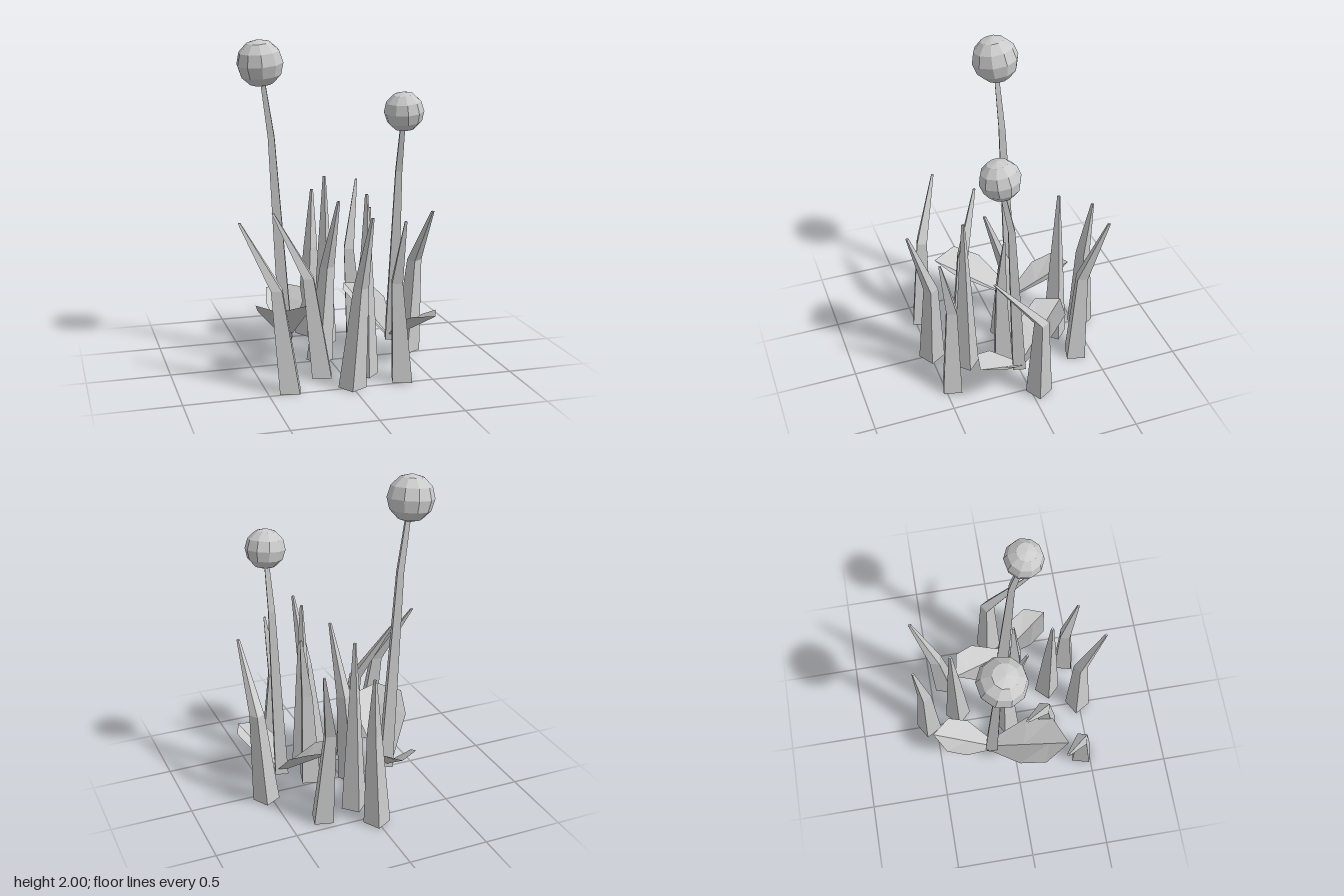
import * as THREE from 'three';

const grey = new THREE.MeshStandardMaterial({ color: 0xcccccc, flatShading: true });
const sheet = new THREE.MeshStandardMaterial({ color: 0xcccccc, flatShading: true, side: THREE.DoubleSide });

function makeMesh(points, faces, name, material) {
  let geo = new THREE.BufferGeometry();
  geo.setAttribute('position', new THREE.Float32BufferAttribute(points.flat(), 3));
  geo.setIndex(faces.flat());
  geo = geo.toNonIndexed();
  geo.computeVertexNormals();
  const mesh = new THREE.Mesh(geo, material);
  mesh.name = name;
  return mesh;
}

// Square-section tapering stalk through rings of [x, y, z, half side]
function stalk(rings, degrees, name) {
  const points = [], faces = [];
  for (const [x, y, z, half] of rings) {
    for (let k = 0; k < 4; k++) {
      const a = THREE.MathUtils.degToRad(degrees + 45 + 90 * k);
      points.push([x + half * Math.SQRT2 * Math.cos(a), y, z + half * Math.SQRT2 * Math.sin(a)]);
    }
  }
  for (let i = 0; i < rings.length - 1; i++) {
    for (let k = 0; k < 4; k++) {
      const a = i * 4 + k, b = i * 4 + (k + 1) % 4;
      faces.push([a, a + 4, b], [b, a + 4, b + 4]);
    }
  }
  const t = (rings.length - 1) * 4;
  faces.push([0, 1, 2], [0, 2, 3], [t, t + 2, t + 1], [t, t + 3, t + 2]);
  return makeMesh(points, faces, name, grey);
}

// Leaf folded along its midrib, rising from base to tip with raised edges
function leaf(base, tip, name) {
  const b = new THREE.Vector3(...base), along = new THREE.Vector3(...tip).sub(b);
  const rise = along.y;
  along.y = 0;
  const across = new THREE.Vector3(-along.z, 0, along.x);
  // [distance along, half width, rib height, edge height], as fractions
  const sections = [[0, 0.09, 0, 0.1], [0.42, 0.31, 0.42, 0.74], [0.75, 0.295, 0.75, 1], [1, 0, 1, 1]];
  const points = [], faces = [];
  for (const [t, w, rib, edge] of sections) {
    for (const side of [-1, 0, 1]) {
      const p = b.clone().addScaledVector(along, t).addScaledVector(across, side * w);
      p.y += rise * (side ? edge : rib);
      points.push(p.toArray());
    }
  }
  for (let i = 0; i < 3; i++) {
    for (let k = 0; k < 2; k++) {
      const a = i * 3 + k;
      faces.push([a, a + 1, a + 3]);
      if (i < 2) faces.push([a + 1, a + 4, a + 3]);
    }
  }
  // Close the last triangle beside the tip on the far side
  faces.push([7, 8, 10]);
  return makeMesh(points, faces, name, sheet);
}

function flower(name, stemRings, ball, radius, leafTips) {
  const group = new THREE.Group();
  group.name = name;
  group.add(stalk(stemRings, 15, 'stem'));
  const head = new THREE.Mesh(new THREE.SphereGeometry(radius, 10, 6), grey);
  head.name = 'flowerHead';
  head.position.set(...ball);
  head.rotation.set(0.1, 0.2, 0.1);
  group.add(head);
  const base = stemRings[0].slice(0, 3);
  for (const tip of leafTips) group.add(leaf(base, tip, 'leaf'));
  return group;
}

export function createModel() {
  const model = new THREE.Group();
  model.name = 'plantCluster';

  // Grass blades: base x, z, turn, middle offset x, z, tip offset x, z, height
  const blades = [
    [0, -0.55, -30, 0.02, 0.01, 0.04, -0.03, 0.98],
    [0.29, -0.395, 15, -0.035, -0.04, 0.05, -0.16, 1.04],
    [0.06, -0.34, 45, 0, 0, 0, 0, 1.11],
    [-0.06, -0.02, -30, 0.05, 0, 0.08, 0.145, 1.04],
    [0.187, 0.063, 15, 0.01, 0.02, 0.046, 0.012, 0.98],
    [0.53, -0.05, -30, 0.04, 0.01, 0.045, 0.305, 0.975],
    [-0.12, 0.25, 15, -0.07, -0.045, -0.25, -0.19, 0.975],
    [-0.365, 0.45, 15, -0.065, -0.045, -0.25, -0.187, 0.975],
    [0, 0.49, -30, 0.05, 0, 0.073, 0.135, 1.04],
    [0.32, 0.452, 15, -0.03, -0.02, -0.005, 0.05, 0.98],
    [0.14, 0.3, 45, 0, 0, 0, 0, 1.11],
  ];
  for (const [x, z, turn, mx, mz, tx, tz, h] of blades) {
    model.add(stalk([
      [x, 0, z, 0.058],
      [x + mx, 0.6, z + mz, 0.032],
      [x + tx, h, z + tz, 0.007],
    ], turn, 'grassBlade'));
  }

  // Two ball-headed flowers, each with a front and a back leaf
  model.add(flower('tallFlower',
    [[-0.245, 0.12, -0.15, 0.04], [-0.335, 1.41, -0.115, 0.02], [-0.387, 1.75, -0.1, 0.014]],
    [-0.403, 1.857, -0.097], 0.143,
    [[-0.4, 0.445, 0.335], [-0.176, 0.37, -0.526]]));
  model.add(flower('shortFlower',
    [[0.395, 0.12, 0.035, 0.04], [0.41, 1.2, 0.095, 0.02], [0.412, 1.5, 0.155, 0.014]],
    [0.414, 1.573, 0.165], 0.121,
    [[0.57, 0.34, 0.348], [0.187, 0.4, -0.32]]));

  return model;
}
